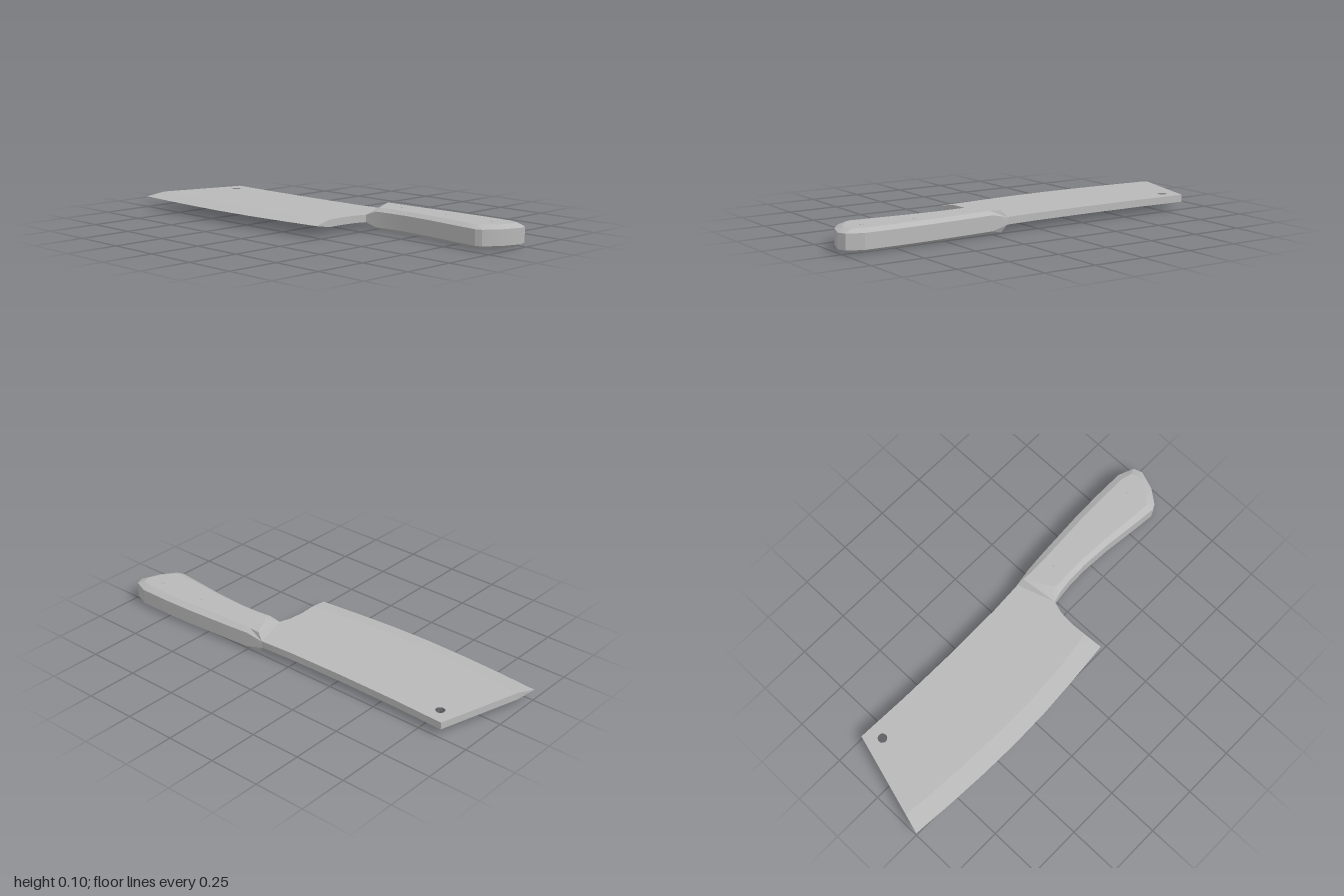
import * as THREE from 'three';
import { toCreasedNormals } from 'three/addons/utils/BufferGeometryUtils.js';

const MID = 0.0525;   // height of the middle plane
const HALF = 0.0172;  // half thickness of the blade

const steel = new THREE.MeshStandardMaterial({ color: 0xb8b8b8 });
steel.name = 'grey steel';

function add(group, name, geometry) {
  const mesh = new THREE.Mesh(geometry, steel);
  mesh.name = name;
  group.add(mesh);
  return mesh;
}

// Collects triangles and quads into one creased geometry
function builder() {
  const pos = [];
  const tri = (a, b, c) => pos.push(...a, ...b, ...c);
  const quad = (a, b, c, d) => { tri(a, b, c); tri(a, c, d); };
  const finish = (crease) => {
    const g = new THREE.BufferGeometry();
    g.setAttribute('position', new THREE.Float32BufferAttribute(pos, 3));
    return toCreasedNormals(g, crease);
  };
  return { tri, quad, finish };
}

// Start of the bevel [x, z] and the cutting edge [x, z], tip to heel
const bevel = [
  [-0.975, 0.165, -1.0, 0.255],
  [-0.8, 0.18, -0.8, 0.27],
  [-0.6, 0.191, -0.6, 0.28],
  [-0.4, 0.197, -0.4, 0.284],
  [-0.2, 0.195, -0.2, 0.279],
  [0.0, 0.182, 0.0, 0.265],
  [0.204, 0.152, 0.215, 0.245],
];

// Flat part of the blade with the hanging hole
function bladePlate() {
  const outline = [
    [-0.86, -0.24], [-0.6, -0.232], [-0.3, -0.23], [0, -0.235], [0.17, -0.246],
    [0.21, -0.236], [0.26, -0.09], [0.225, -0.06], [0.206, 0], [0.2, 0.08],
    ...bevel.map(([x, z]) => [x, z]).reverse(),
  ];
  const shape = new THREE.Shape(outline.map(([x, z]) => new THREE.Vector2(x, -z)));
  shape.holes.push(new THREE.Path().absarc(-0.8, 0.165, 0.022, 0, Math.PI * 2, true));
  const g = new THREE.ExtrudeGeometry(shape, { depth: HALF * 2, bevelEnabled: false, curveSegments: 10 });
  g.rotateX(-Math.PI / 2);
  g.translate(0, MID - HALF, 0);
  return toCreasedNormals(g, 0.5);
}

// Wedge that narrows to the cutting edge
function cuttingEdge() {
  const b = builder();
  const rows = bevel.map(([x, z, ex, ez]) => ({
    top: [x, MID + HALF, z], low: [x, MID - HALF, z], edge: [ex, MID, ez],
  }));
  for (let i = 0; i < rows.length - 1; i++) {
    const p = rows[i], q = rows[i + 1];
    b.quad(p.top, p.edge, q.edge, q.top);
    b.quad(p.low, q.low, q.edge, p.edge);
  }
  const first = rows[0], last = rows[rows.length - 1];
  b.tri(first.top, first.low, first.edge);
  b.tri(last.top, last.edge, last.low);
  return b.finish(0.2);
}

// Outer outline [x, z], flat face outline [x, z], half height of the side wall
const SIDE = 0.036;
const grip = [
  [0.165, -0.247, 0.195, -0.237, HALF],
  [0.25, -0.257, 0.25, -0.234, SIDE],
  [0.36, -0.267, 0.36, -0.238, SIDE],
  [0.6, -0.283, 0.6, -0.252, SIDE],
  [0.75, -0.288, 0.75, -0.256, SIDE],
  [0.91, -0.288, 0.9, -0.256, SIDE],
  [0.985, -0.258, 0.95, -0.242, SIDE],
  [1.0, -0.215, 0.963, -0.21, SIDE],
  [0.967, -0.125, 0.935, -0.14, SIDE],
  [0.915, -0.057, 0.89, -0.087, SIDE],
  [0.885, -0.045, 0.87, -0.078, SIDE],
  [0.8, -0.053, 0.8, -0.083, SIDE],
  [0.6, -0.075, 0.6, -0.1, SIDE],
  [0.45, -0.083, 0.45, -0.106, SIDE],
  [0.35, -0.08, 0.35, -0.104, SIDE],
  [0.275, -0.071, 0.28, -0.1, SIDE],
  [0.225, -0.06, 0.268, -0.104, HALF],
];

// Handle lofted through four rings, from the lower face to the upper face
function handleBody() {
  const b = builder();
  const FACE = 0.0515;
  const rings = [
    grip.map(([, , x, z]) => [x, MID - FACE, z]),
    grip.map(([x, z, , , h]) => [x, MID - h, z]),
    grip.map(([x, z, , , h]) => [x, MID + h, z]),
    grip.map(([, , x, z]) => [x, MID + FACE, z]),
  ];
  for (let r = 0; r < 3; r++) {
    const low = rings[r], up = rings[r + 1];
    grip.forEach((_, i) => {
      const j = (i + 1) % grip.length;
      b.quad(low[i], up[i], up[j], low[j]);
    });
  }
  const flat = grip.map(([, , x, z]) => new THREE.Vector2(x, -z));
  for (const [i, j, k] of THREE.ShapeUtils.triangulateShape(flat, [])) {
    b.tri(rings[3][i], rings[3][j], rings[3][k]);
    b.tri(rings[0][i], rings[0][k], rings[0][j]);
  }
  return b.finish(0.35);
}

export function createModel() {
  const model = new THREE.Group();
  model.name = 'cleaver';

  const blade = new THREE.Group();
  blade.name = 'blade';
  add(blade, 'bladePlate', bladePlate());
  add(blade, 'cuttingEdge', cuttingEdge());

  const handle = new THREE.Group();
  handle.name = 'handle';
  add(handle, 'handleBody', handleBody());

  // Rivets run through the handle and show on both faces
  const rivet = toCreasedNormals(new THREE.CylinderGeometry(0.011, 0.011, 0.105, 10), 0.7);
  for (const [x, z] of [[0.35, -0.175], [0.61, -0.185], [0.87, -0.19]]) {
    add(handle, 'rivet', rivet).position.set(x, MID, z);
  }

  model.add(blade, handle);
  return model;
}
